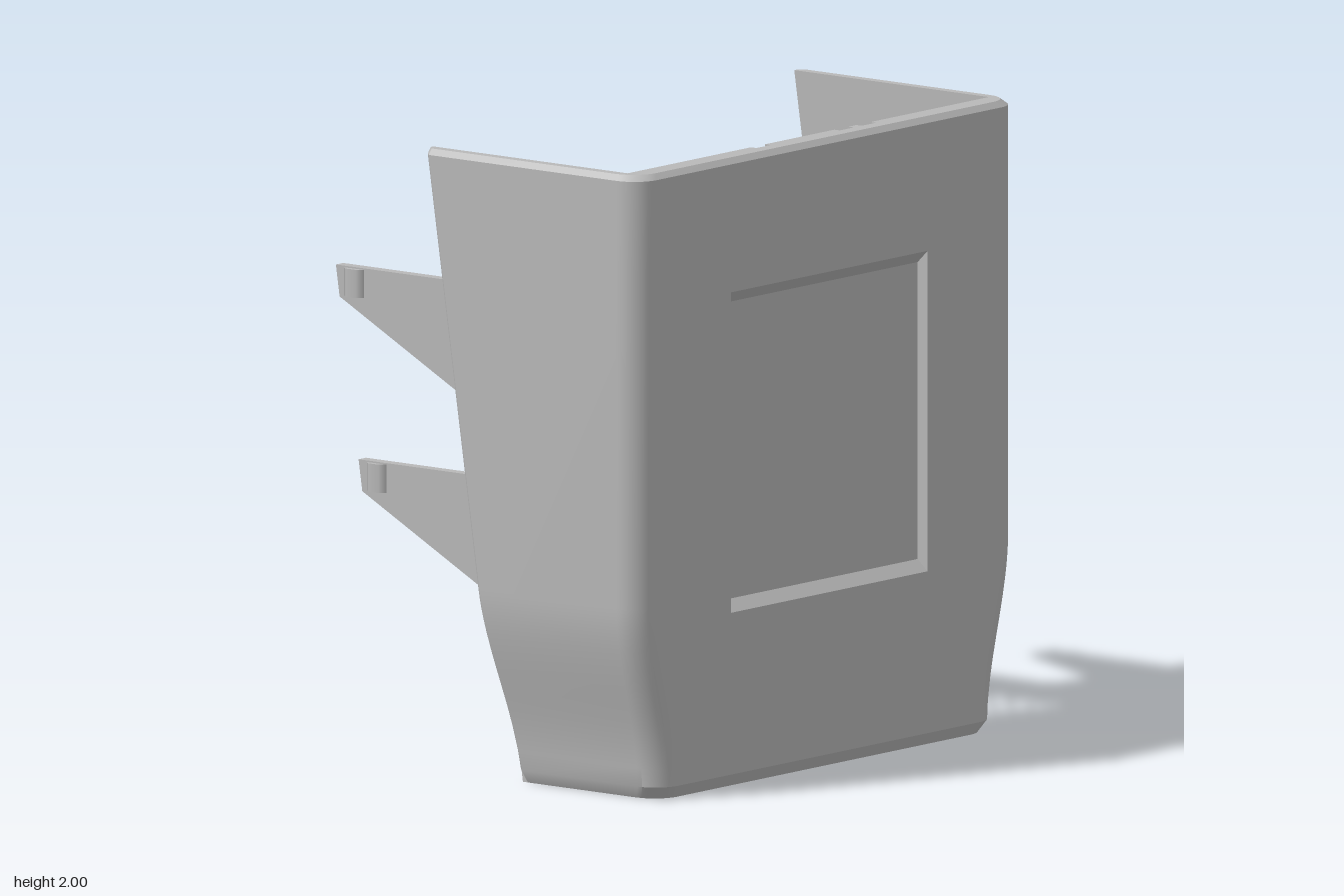
import * as THREE from 'three';
import { toCreasedNormals } from 'three/addons/utils/BufferGeometryUtils.js';

const FRONT = 0.64, INNER = 0.555, WALL = 0.05, R = 0.09, FLOOR = 0.08;
const VENT = { z: [0.11, 0.205, 0.305], r: 0.033, y0: 0.18, y1: 0.555, tip: 0.59 };

// Slanted rear edge and tapering half width, by height
const back = (y) => 0.07 - 0.15 * y;
const half = (y) => 0.845 + 0.105 * THREE.MathUtils.smoothstep(y, 0.03, 0.62);

const creased = (g) => toCreasedNormals(g.index ? g.toNonIndexed() : g, 0.5);

// Triangle collector that drops degenerate faces
function collector() {
  const pos = [], e1 = new THREE.Vector3(), e2 = new THREE.Vector3();
  const tri = (a, b, c) => {
    e1.subVectors(b, a);
    e2.subVectors(c, a);
    if (e1.cross(e2).length() > 1e-8) for (const p of [a, b, c]) pos.push(p.x, p.y, p.z);
  };
  const build = () => {
    const g = new THREE.BufferGeometry();
    g.setAttribute('position', new THREE.Float32BufferAttribute(pos, 3));
    return creased(g);
  };
  return { tri, build };
}

// Columns of the U-shaped wall: each gives [x, z] for a row
function wallColumns() {
  const cols = [];
  const add = (at, extra = {}) => cols.push({ at, ...extra });
  const w = (r) => half(r.y) - r.inset;
  const ventCols = [];
  VENT.z.forEach((c, n) => [-1, 0, 1].forEach((k) => ventCols.push({ z: c + k * VENT.r, n, k })));

  const outerSide = (s) => {
    const list = [
      { at: (r) => [s * (w(r) - 0.02), back(r.y)] },
      { at: (r) => [s * w(r), back(r.y) + 0.02] },
    ];
    if (s > 0) for (const v of ventCols)
      list.push({ at: (r) => [w(r), Math.max(v.z, back(r.y) + 0.025)], vent: v.n, k: v.k });
    for (let i = 0; i <= 8; i++) {
      const a = (i / 8) * Math.PI / 2;
      list.push({ at: (r) => [s * (w(r) - R + R * Math.cos(a)), FRONT - r.inset - R + R * Math.sin(a)] });
    }
    return s > 0 ? list : list.reverse();
  };
  cols.push(...outerSide(1));
  // Recessed panel on the front
  for (const [x, deep] of [[0.49, 0], [0.49, 1], [-0.49, 1], [-0.49, 0]])
    add((r) => [x, FRONT - r.inset - (deep && r.recess ? 0.04 : 0)]);
  cols.push(...outerSide(-1));

  // Inner face with three shallow grooves near the rim
  add((r) => [-(half(r.y) - WALL), back(r.y)]);
  add((r) => [-(half(r.y) - WALL), INNER]);
  for (const [a, b] of [[-0.285, -0.215], [0.13, 0.2], [0.24, 0.31]])
    for (const [x, deep] of [[a, 0], [a, 1], [b, 1], [b, 0]])
      add((r) => [x, INNER + (deep && r.groove ? 0.022 : 0)]);
  add((r) => [half(r.y) - WALL, INNER]);
  for (const v of ventCols.slice().reverse())
    add((r) => [half(r.y) - WALL, Math.max(v.z, back(r.y) + 0.025)], { vent: v.n, k: v.k });
  add((r) => [half(r.y) - WALL, back(r.y)]);
  return cols;
}

function shellGeometry() {
  const { tri, build } = collector();
  const cols = wallColumns();
  const ys = [0, 0.04, 0.1, 0.18, 0.24, 0.3, 0.36, 0.42, 0.48, 0.52, 0.555, 0.59, 0.62, 1.535, 1.575, 1.7];
  const rows = ys.map((y) => ({ y, inset: y === 0 ? 0.022 : 0, recess: y >= 0.59 && y <= 1.535 }));
  rows.push({ y: 1.7, inset: 0, groove: true }, { y: 1.982, inset: 0, groove: true }, { y: 2, inset: 0.018, groove: true });
  const grid = rows.map((r) => cols.map((c) => {
    const [x, z] = c.at(r);
    return new THREE.Vector3(x, r.y, z);
  }));

  for (let k = 0; k < rows.length - 1; k++) {
    for (let i = 0; i < cols.length; i++) {
      const j = (i + 1) % cols.length, y = rows[k].y;
      const a = grid[k][i], b = grid[k + 1][i], c = grid[k + 1][j], d = grid[k][j];
      const inVent = cols[i].vent !== undefined && cols[i].vent === cols[j].vent;
      if (inVent && y >= VENT.y0 && y < VENT.y1) continue;
      if (inVent && y === VENT.y1) {
        if (cols[i].k !== 0) tri(a, b, c);
        else tri(b, c, d);
        continue;
      }
      tri(a, b, d);
      tri(b, c, d);
    }
  }

  // Top rim
  const top = grid[grid.length - 1];
  const faces = THREE.ShapeUtils.triangulateShape(top.map((p) => new THREE.Vector2(p.x, p.z)), []);
  for (const [i, j, k] of faces) {
    const a = top[i], b = top[j], c = top[k];
    const up = (b.z - a.z) * (c.x - a.x) - (b.x - a.x) * (c.z - a.z);
    if (up > 0) tri(a, b, c);
    else tri(a, c, b);
  }

  // Linings of the pointed side vents
  const levels = ys.filter((y) => y >= VENT.y0 && y <= VENT.y1);
  for (const c of VENT.z) {
    const line = [
      ...levels.map((y) => [c + VENT.r, y]), [c, VENT.tip],
      ...levels.slice().reverse().map((y) => [c - VENT.r, y]),
    ];
    line.forEach(([z, y], i) => {
      const [z2, y2] = line[(i + 1) % line.length];
      const p = new THREE.Vector3(half(y), y, z), pi = new THREE.Vector3(half(y) - WALL, y, z);
      const q = new THREE.Vector3(half(y2), y2, z2), qi = new THREE.Vector3(half(y2) - WALL, y2, z2);
      tri(p, pi, q);
      tri(pi, qi, q);
    });
  }
  return build();
}

function roundedRect(cx, cy, w, h, r, Type) {
  const s = new Type(), x = w / 2 - r, y = h / 2 - r;
  s.absarc(cx + x, cy + y, r, 0, Math.PI / 2);
  s.absarc(cx - x, cy + y, r, Math.PI / 2, Math.PI);
  s.absarc(cx - x, cy - y, r, Math.PI, Math.PI * 1.5);
  s.absarc(cx + x, cy - y, r, Math.PI * 1.5, Math.PI * 2);
  s.closePath();
  return s;
}

// One layer of the floor; the lower layer flares its port opening outward
function floorLayer(y0, y1, flare) {
  const w = 0.823, f = 0.618, cx = -0.195, cz = 0.285, pw = 0.45, ph = 0.27;
  const s = new THREE.Shape();
  s.moveTo(-w, 0.07);
  s.lineTo(w, 0.07);
  s.absarc(w - R, f - R, R, 0, Math.PI / 2);
  s.absarc(-w + R, f - R, R, Math.PI / 2, Math.PI);
  s.closePath();
  s.holes.push(roundedRect(cx, cz, pw + 2 * flare, ph + 2 * flare, 0.04, THREE.Path));
  for (let i = 0; i < 5; i++) {
    const x = 0.168 + i * 0.115;
    s.holes.push(new THREE.Path([[-1, 0.11], [1, 0.11], [1, 0.28], [-1, 0.28]]
      .map(([k, z]) => new THREE.Vector2(x + k * 0.032, z))));
  }
  const g = new THREE.ExtrudeGeometry(s, { depth: y1 - y0, bevelEnabled: false, curveSegments: 6 });
  g.rotateX(Math.PI / 2).translate(0, y1, 0);
  const p = g.attributes.position;
  for (let i = 0; i < p.count; i++) {
    const x = p.getX(i), y = p.getY(i), z = p.getZ(i);
    if (z < 0.075) p.setZ(i, back(y));
    else if (y > y1 - 0.001 && Math.abs(x - cx) < 0.28 && Math.abs(z - cz) < 0.19) {
      p.setX(i, cx + (x - cx) * pw / (pw + 2 * flare));
      p.setZ(i, cz + (z - cz) * ph / (ph + 2 * flare));
    }
  }
  return creased(g);
}

// Plate with a [z, y] outline, spanning x0 to x1
function slab(points, x0, x1) {
  const s = new THREE.Shape(points.map(([z, y]) => new THREE.Vector2(z, y)));
  const g = new THREE.ExtrudeGeometry(s, { depth: Math.abs(x1 - x0), bevelEnabled: false });
  return g.rotateY(-Math.PI / 2).translate(Math.max(x0, x1), 0, 0);
}

export function createModel() {
  const model = new THREE.Group();
  const grey = new THREE.MeshStandardMaterial({ color: 0xb8b8b8 });
  grey.name = 'grey plastic';
  const add = (name, geometry) => {
    const m = new THREE.Mesh(geometry, grey);
    m.name = name;
    model.add(m);
  };
  const block = (name, x0, x1, y0, y1, z0, z1) => add(name, new THREE.BoxGeometry(Math.abs(x1 - x0), y1 - y0, z1 - z0)
    .translate((x0 + x1) / 2, (y0 + y1) / 2, (z0 + z1) / 2));

  add('shell', shellGeometry());
  add('floorLower', floorLayer(0, 0.04, 0.035));
  add('floorUpper', floorLayer(0.04, FLOOR, 0));

  for (const s of [1, -1]) {
    // Snap arms: thick base on the wall, thin tapering arm, catch on its outer face
    for (const [dz, dy] of [[0, 0], [0.0915, -0.61]]) {
      const move = (pts) => pts.map(([z, y]) => [z + dz, y + dy]);
      const base = slab(move([[-0.173, 1.62], [-0.119, 1.26], [0.14, 1.26], [0.09, 1.62]]), s * 0.83, s * 0.905);
      const p = base.attributes.position;
      for (let i = 0; i < p.count; i++)
        if (p.getY(i) < 1.27 + dy && Math.abs(p.getX(i)) > 0.89) p.setY(i, p.getY(i) - 0.07);
      base.computeVertexNormals();
      add('armBase', base);
      add('arm', slab(move([[-0.645, 1.575], [-0.63, 1.475], [-0.11, 1.2], [-0.07, 1.26], [-0.1, 1.575]]), s * 0.835, s * 0.872));
      const bump = new THREE.CylinderGeometry(0.028, 0.028, 0.09, 6);
      bump.scale(0.75, 1, 1.5).translate(s * 0.87, 1.525 + dy, -0.572 + dz);
      add('armCatch', bump.toNonIndexed());
    }

    // Board supports on the inside of the front
    const o = s > 0 ? 0 : -0.02;
    const x = (v) => s * (v + o);
    block('tallPost', x(0.555), x(0.692), 0.05, 1.685, 0.4, 0.57);
    block('shortPost', x(0.635), x(0.692), 0.05, 0.665, 0.27, 0.405);
    add('shortPostHook', slab([[0.27, 0.05], [0.33, 0.05], [0.33, 0.6], [0.27, 0.665]], x(0.585), x(0.64)));
    add('rib', slab([[0.4, 0.28], [0.57, 0.12], [0.57, 1.47], [0.43, 1.47], [0.4, 1.43]], s * 0.268, s * 0.308));
  }
  return model;
}
